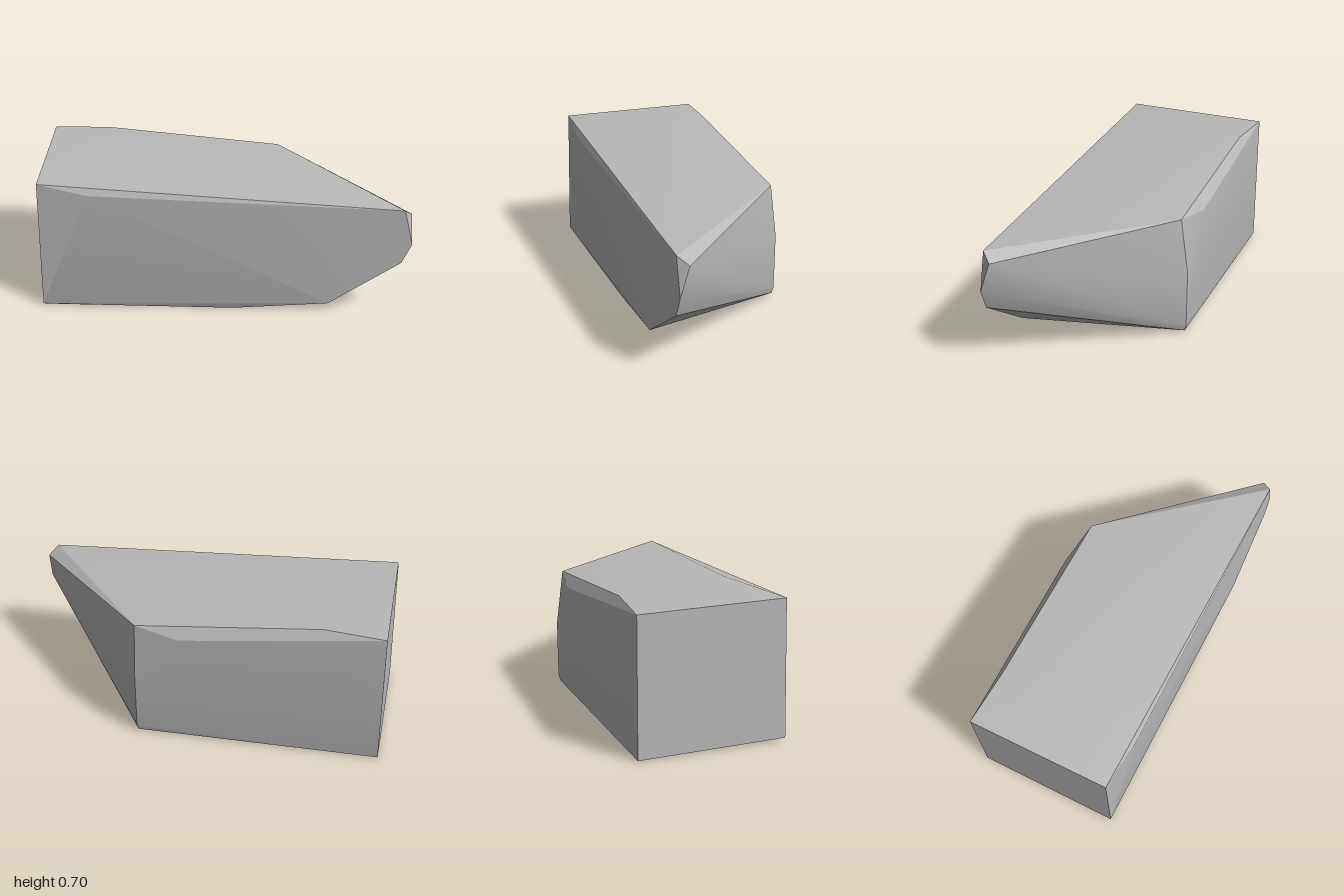
import * as THREE from 'three';
import { ConvexGeometry } from 'three/addons/geometries/ConvexGeometry.js';
import { toCreasedNormals } from 'three/addons/utils/BufferGeometryUtils.js';

export function createModel() {
  const group = new THREE.Group();
  group.name = 'rock';
  const stone = new THREE.MeshStandardMaterial({ color: 0xb8b8b8 });
  stone.name = 'grey stone';

  // Corners of the hewn block
  const corners = [
    // square end
    [-0.63, 0.695, 0.62], [-0.63, 0.012, 0.63], [-1, 0.69, -0.01], [-1, 0.005, -0.01],
    [-0.62, 0.005, 0.615],
    // top and its worn edges
    [-0.27, 0.7, 0.28], [-0.73, 0.7, -0.14], [-0.4, 0.645, 0.51],
    [-0.85, 0.63, -0.107], [-0.15, 0.575, -0.522],
    // back corner
    [0.06, 0.61, -0.6], [0.04, 0.33, -0.632], [0.04, 0.04, -0.632], [0.04, 0.008, -0.622],
    // narrow tip
    [0.96, 0.59, -0.275], [0.97, 0.55, -0.337], [1, 0.4, -0.3], [0.96, 0.295, -0.275],
    // underside
    [0.65, 0.05, -0.095], [0.22, 0, 0.13],
  ].map((p) => new THREE.Vector3(...p));

  const block = new THREE.Mesh(toCreasedNormals(new ConvexGeometry(corners), 0.4), stone);
  block.name = 'stoneBlock';
  group.add(block);
  return group;
}
